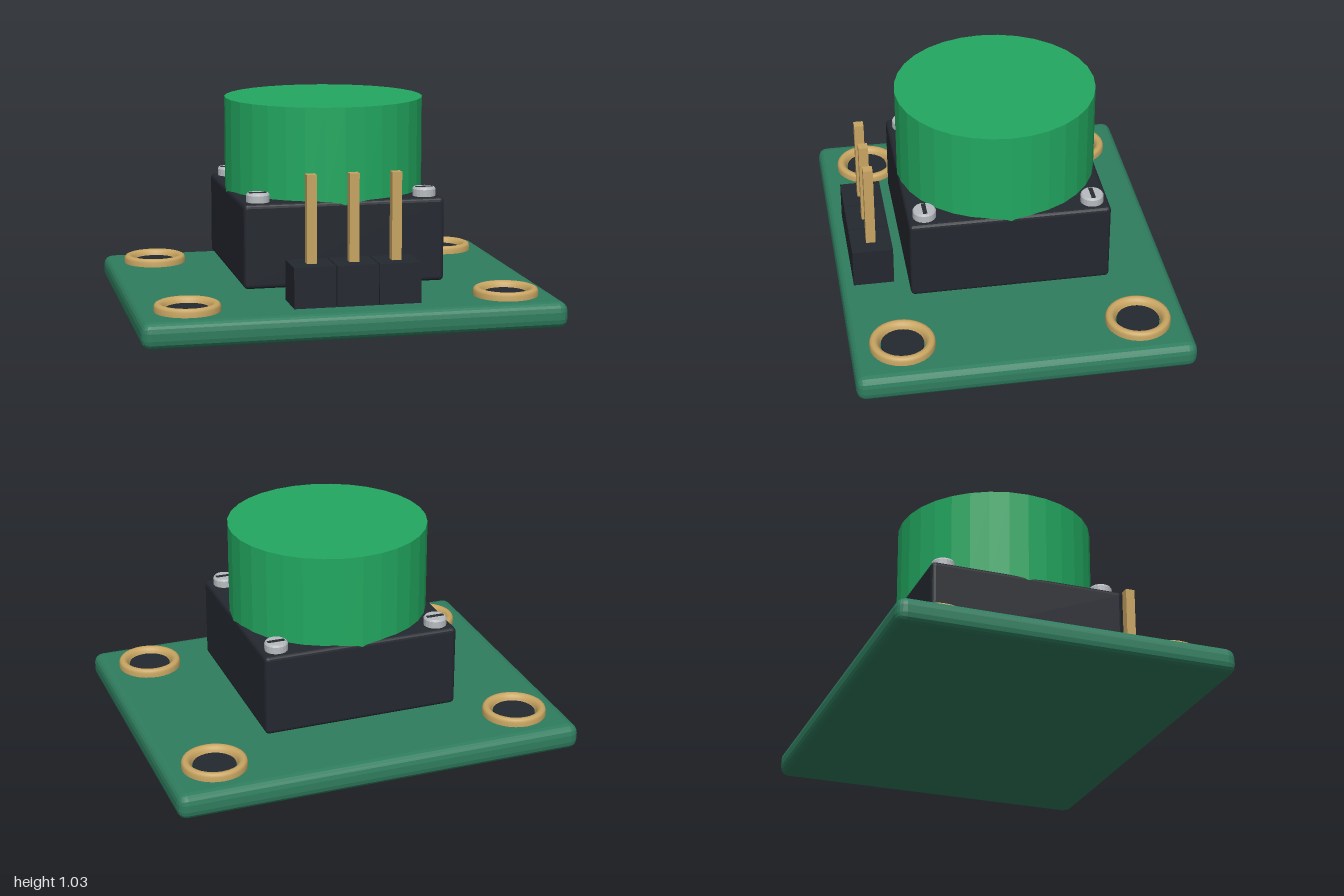
import * as THREE from 'three';
import { RoundedBoxGeometry } from 'three/addons/geometries/RoundedBoxGeometry.js';

const mat = (color, flatShading = true) => new THREE.MeshStandardMaterial({ color, flatShading });

export function createModel() {
  const model = new THREE.Group();
  model.name = 'buttonModule';
  const green = mat(0x2f7d5f), capGreen = mat(0x22a860), dark = mat(0x24282f);
  const gold = mat(0xc8a562), steel = mat(0xb8bcc0), slotDark = mat(0x2a2d31);

  const add = (parent, name, geometry, material, x, y, z) => {
    const mesh = new THREE.Mesh(geometry, material);
    mesh.name = name;
    mesh.position.set(x, y, z);
    parent.add(mesh);
    return mesh;
  };

  // Circuit board with softened edges
  add(model, 'board', new RoundedBoxGeometry(2, 0.125, 1.6, 2, 0.045), green, 0, 0.0625, 0);

  // Switch housing and round button cap
  add(model, 'housing', new RoundedBoxGeometry(0.96, 0.4, 0.96, 2, 0.02), dark, 0, 0.388, 0);
  add(model, 'buttonCap', new THREE.CylinderGeometry(0.48, 0.48, 0.48, 32), capGreen, 0, 0.787, 0);

  // Mounting ring profile: from inner wall over the rim to the outer edge
  const ringProfile = [
    [0.155, 0.12], [0.155, 0.148], [0.149, 0.159], [0.138, 0.164],
    [0.126, 0.162], [0.117, 0.154], [0.11, 0.142], [0.104, 0.12],
  ].map(([r, y]) => new THREE.Vector2(r, y));
  const ringGeo = new THREE.LatheGeometry(ringProfile, 32);
  const goldRing = mat(0xc8a562, false);
  goldRing.side = THREE.DoubleSide;
  const holeGeo = new THREE.CylinderGeometry(0.101, 0.101, 0.03, 32);

  // Slotted screw head
  const headGeo = new THREE.LatheGeometry(
    [[0, 0.56], [0.055, 0.56], [0.055, 0.621], [0.049, 0.63], [0, 0.63]]
      .map(([r, y]) => new THREE.Vector2(r, y)), 20);
  const slotGeo = new THREE.BoxGeometry(0.084, 0.012, 0.02);

  // One ring and one screw at each corner
  for (const sx of [-1, 1]) for (const sz of [-1, 1]) {
    const ring = new THREE.Group();
    ring.name = 'mountingHole';
    ring.position.set(sx * 0.76, 0, sz * 0.56);
    add(ring, 'mountingRing', ringGeo, goldRing, 0, 0, 0);
    add(ring, 'holeDisc', holeGeo, dark, 0, 0.122, 0);
    const screw = new THREE.Group();
    screw.name = 'screw';
    screw.position.set(sx * 0.4, 0, sz * 0.4);
    add(screw, 'screwHead', headGeo, steel, 0, 0, 0);
    add(screw, 'screwSlot', slotGeo, slotDark, 0, 0.626, 0);
    model.add(ring, screw);
  }

  // Three-pin header along the front edge
  const blockGeo = new THREE.BoxGeometry(0.196, 0.19, 0.196);
  const pinGeo = new THREE.BoxGeometry(0.046, 0.6, 0.046);
  for (const x of [-0.2, 0, 0.2]) {
    add(model, 'headerBlock', blockGeo, dark, x, 0.242, 0.64);
    add(model, 'headerPin', pinGeo, gold, x, 0.448, 0.64);
  }
  return model;
}
